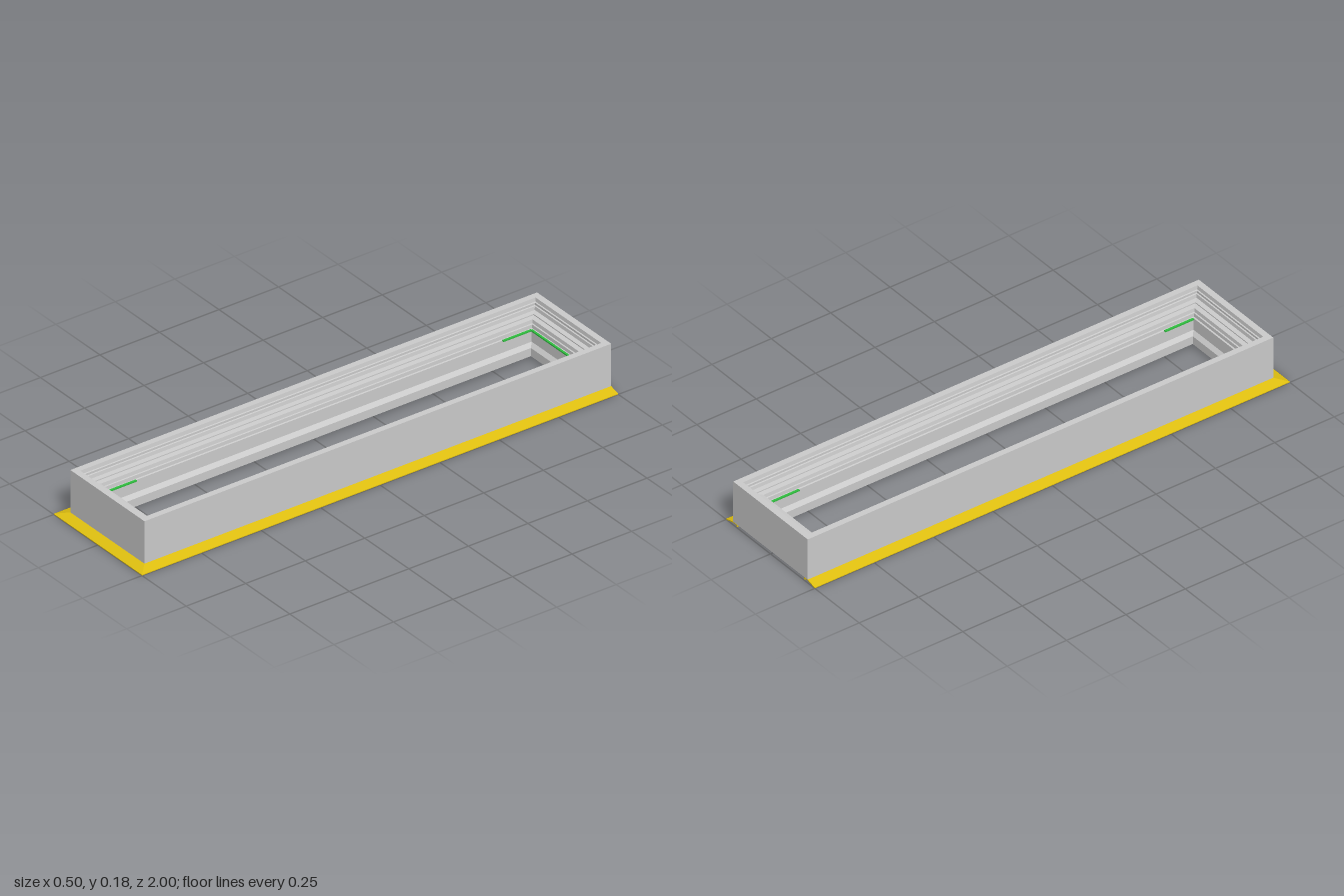
import * as THREE from 'three';

const HALF_X = 0.21, HALF_Z = 0.98, MID_Z = -0.02, BACK = -1;

// Corners in order: back right, front right, front left, back left.
const CORNERS = [[-1, -1], [-1, 1], [1, 1], [1, -1]];

// Sweeps a closed profile of [inset, height] points around mitred corners.
// An open sweep leaves out the back side, is cut square there and gets end caps.
function sweep(profile, open) {
  const rings = CORNERS.map(([sx, sz]) => profile.map(([d, y]) => [
    sx * (HALF_X - d), y,
    open && sz < 0 ? BACK : MID_Z + sz * (HALF_Z - d),
  ]));
  const pos = [];
  for (let c = 0; c < (open ? 3 : 4); c++) {
    const a = rings[c], b = rings[(c + 1) % 4];
    for (let i = 0; i < profile.length; i++) {
      const j = (i + 1) % profile.length;
      pos.push(...a[i], ...b[i], ...b[j], ...a[i], ...b[j], ...a[j]);
    }
  }
  if (open) {
    const outline = profile.map(([d, y]) => new THREE.Vector2(d, y));
    for (const [p, q, r] of THREE.ShapeUtils.triangulateShape(outline, [])) {
      for (const ring of [rings[0], rings[3]]) pos.push(...ring[p], ...ring[q], ...ring[r]);
    }
  }
  const geo = new THREE.BufferGeometry();
  geo.setAttribute('position', new THREE.Float32BufferAttribute(pos, 3));
  geo.computeVertexNormals();
  return geo;
}

export function createModel() {
  const group = new THREE.Group();
  const grey = new THREE.MeshStandardMaterial({ color: 0xcccccc, flatShading: true });
  const yellow = new THREE.MeshStandardMaterial({ color: 0xe0c010, flatShading: true, side: THREE.DoubleSide });
  const green = new THREE.MeshStandardMaterial({ color: 0x30c040 });

  const add = (name, geo, mat, x = 0, y = 0, z = 0) => {
    const mesh = new THREE.Mesh(geo, mat);
    mesh.name = name;
    mesh.position.set(x, y, z);
    group.add(mesh);
  };

  // Frame: straight outer wall, stepped rebates inside the rim,
  // sloping bead low on the inner wall, shallow grooves underneath
  add('frame', sweep([
    [0, 0.013], [0, 0.18], [0.024, 0.18], [0.026, 0.166],
    [0.031, 0.165], [0.031, 0.157], [0.036, 0.156], [0.038, 0.143],
    [0.055, 0.141], [0.055, 0.137], [0.073, 0.135], [0.075, 0.122],
    [0.08, 0.121], [0.081, 0.108], [0.087, 0.107],
    [0.088, 0.06], [0.1, 0.045], [0.1, 0.013],
    [0.083, 0.013], [0.083, 0.017], [0.078, 0.017], [0.078, 0.013],
    [0.034, 0.013], [0.034, 0.017], [0.022, 0.017], [0.022, 0.013],
  ]), grey);

  // Sloping skirt on the front and both sides, with a hooked lip under the frame
  add('skirt', sweep([
    [-0.04, 0], [-0.04, 0.003], [0, 0.0135], [0, 0.0125], [0.021, 0.0125],
    [0.021, 0.003], [0.018, 0.003], [0.018, 0.0095], [0, 0.0095], [-0.036, 0],
  ], true), yellow);

  // Thin seal strips on the inner ledge, across the back and at the four corners
  const sealX = HALF_X - 0.09, sealZ = HALF_Z - 0.09;
  add('backSeal', new THREE.BoxGeometry(2 * sealX, 0.005, 0.008), green, 0, 0.107, MID_Z - sealZ);
  for (const [sx, sz] of CORNERS) {
    add('sideSeal', new THREE.BoxGeometry(0.008, 0.005, 0.12), green,
      sx * sealX, 0.107, MID_Z + sz * (sealZ - 0.06));
  }
  return group;
}
